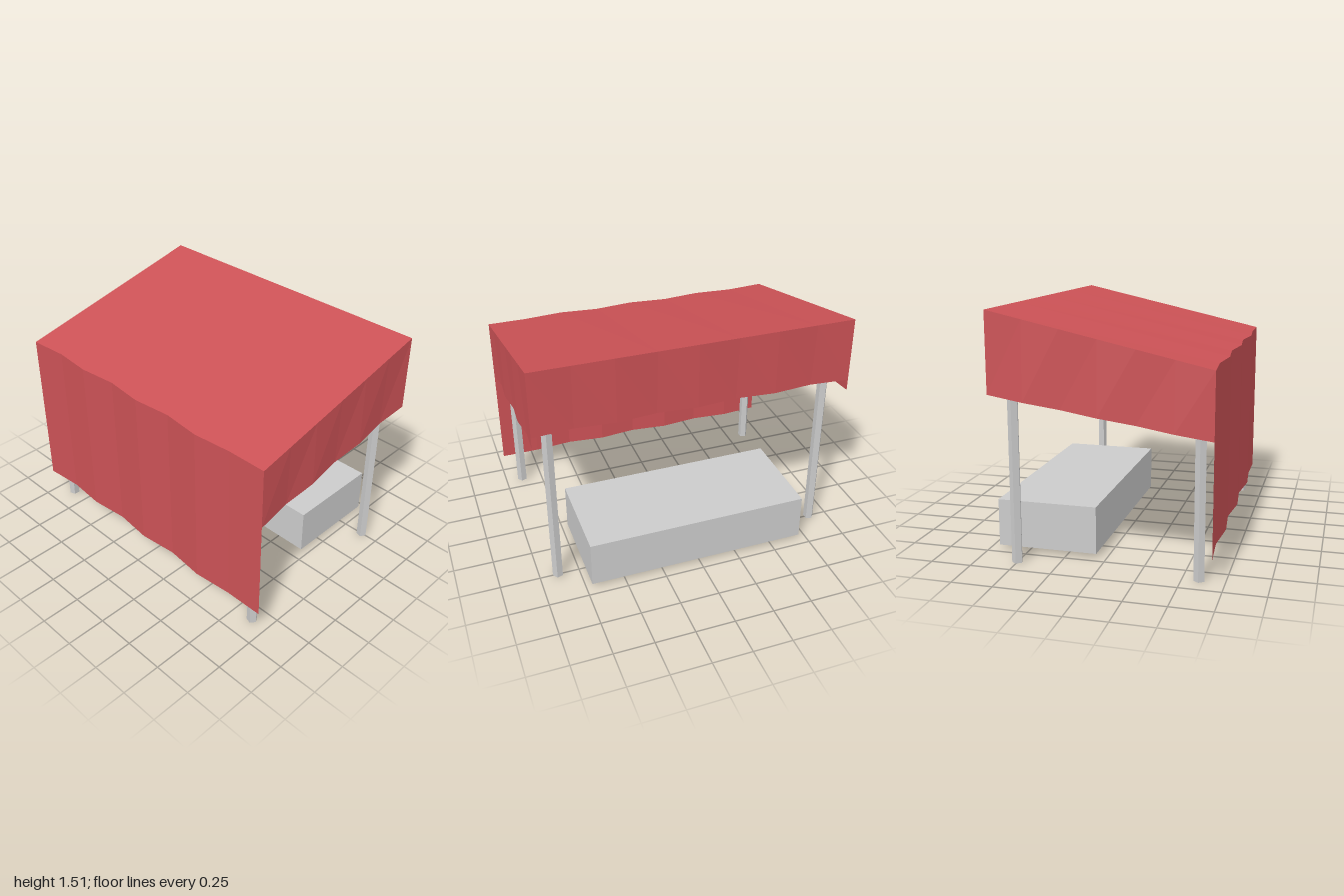
import * as THREE from 'three';

const red = new THREE.MeshStandardMaterial({ color: 0xcc5256, flatShading: true, side: THREE.DoubleSide });
const grey = new THREE.MeshStandardMaterial({ color: 0xcccccc, flatShading: true });

const X1 = 0.61, ZF = 0.994, ZB = -0.985; // right edge, front edge, back edge of the canopy
const LOW = 1.227, HIGH = 1.512;          // roof height on the low and the high side

// Strip of quads between two edges with the same number of points
function sheet(name, a, b) {
  const pos = [], idx = [];
  a.forEach((p, i) => {
    pos.push(...p, ...b[i]);
    if (i) {
      const k = 2 * i;
      idx.push(k - 2, k - 1, k, k, k - 1, k + 1);
    }
  });
  const g = new THREE.BufferGeometry();
  g.setAttribute('position', new THREE.Float32BufferAttribute(pos, 3));
  g.setIndex(idx);
  g.computeVertexNormals();
  const m = new THREE.Mesh(g, red);
  m.name = name;
  return m;
}

// Points at n + 1 even steps along an edge
const edge = (n, f) => Array.from({ length: n + 1 }, (_, i) => f(i / n, i));
const lerp = THREE.MathUtils.lerp;

export function createModel() {
  const model = new THREE.Group();

  // Cloth canopy: rippled low edge, straight high edge
  const canopy = new THREE.Group();
  canopy.name = 'canopy';
  const ripple = [-0.69, -0.67, -0.69, -0.665, -0.69, -0.665, -0.69, -0.668, -0.667];
  const lowEdge = edge(8, (t, i) => [ripple[i], LOW, lerp(ZB, ZF, t)]);
  const highEdge = edge(8, (t) => [X1, HIGH, lerp(ZB, ZF, t)]);
  canopy.add(sheet('roof', lowEdge, highEdge));

  // Long curtain on the low side
  canopy.add(sheet('longCurtain', edge(8, (t, i) => [ripple[i], 0.175, lowEdge[i][2]]), lowEdge));

  // Short valance on the high side, its hem waving inward
  const hem = edge(8, (t, i) => [X1 - (i % 2 ? 0.022 : 0), 1.105, highEdge[i][2]]);
  canopy.add(sheet('highValance', highEdge, hem));

  // Sloping valances at the two ends, hems waving by one small step
  [['frontValance', ZF, ripple[8]], ['backValance', ZB, ripple[0]]].forEach(([name, z, x0]) => {
    const top = edge(6, (t) => [lerp(x0, X1, t), lerp(LOW, HIGH, t), z]);
    const bottom = edge(6, (t, i) => [lerp(x0, X1, t), lerp(0.84, 1.033, t), z - (i % 2 ? 0.015 : 0)]);
    canopy.add(z > 0 ? sheet(name, top, bottom) : sheet(name, bottom, top));
  });
  model.add(canopy);

  // Five-sided posts, each with one corner facing outward along z
  for (const [x, h] of [[-0.6, 1.235], [0.5, 1.475]]) {
    for (const s of [1, -1]) {
      const post = new THREE.Mesh(new THREE.CylinderGeometry(0.033, 0.033, h, 5), grey);
      post.name = s > 0 ? 'frontPost' : 'backPost';
      post.position.set(x, h / 2, 0.0055 + s * 0.88);
      if (s < 0) post.rotation.y = Math.PI;
      model.add(post);
    }
  }

  // Counter block
  const counter = new THREE.Mesh(new THREE.BoxGeometry(0.625, 0.295, 1.414), grey);
  counter.name = 'counter';
  counter.position.set(0.376, 0.1725, 0.006);
  model.add(counter);

  return model;
}
